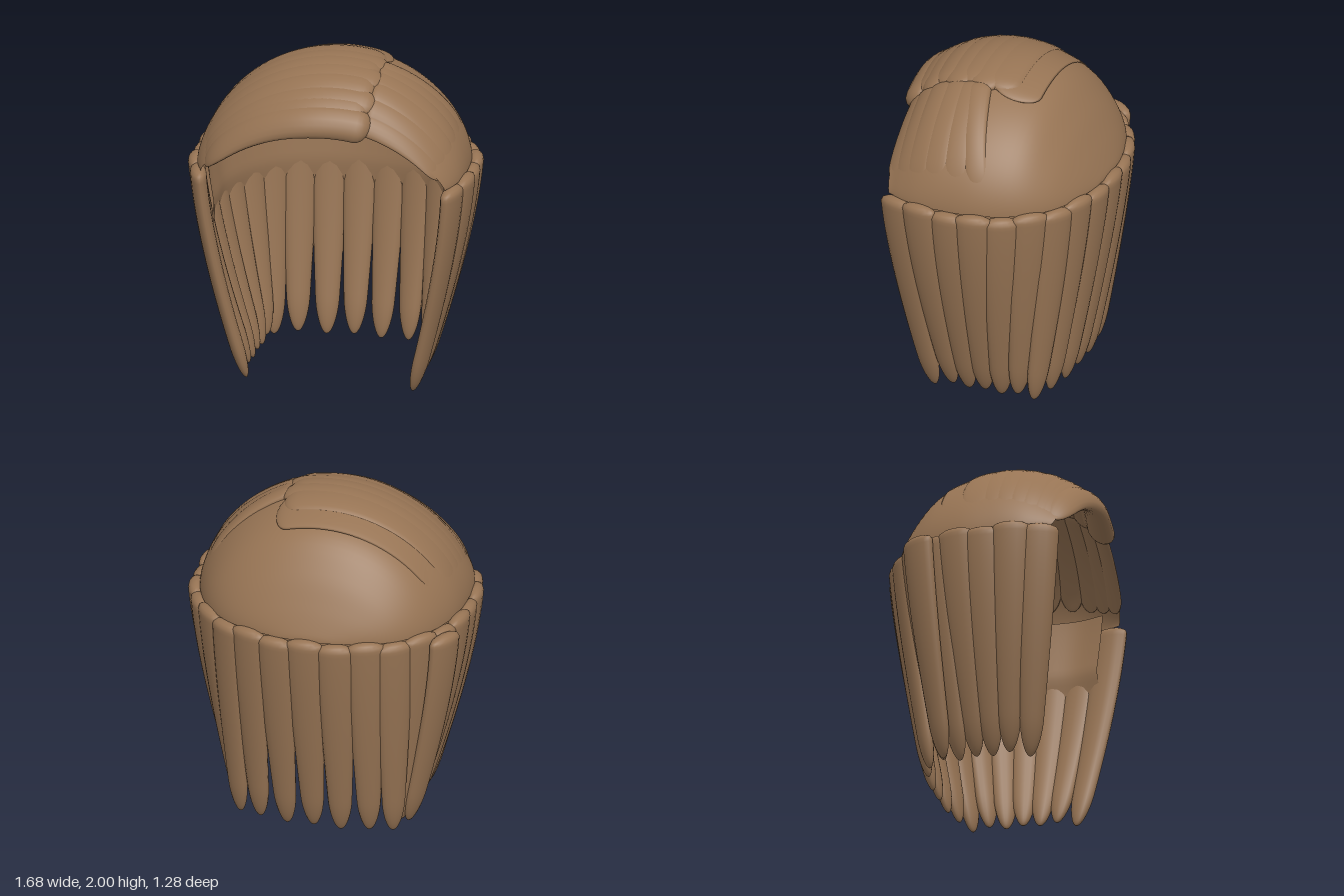
import * as THREE from 'three';

const V = (x, y, z) => new THREE.Vector3(x, y, z);
const { lerp, smoothstep } = THREE.MathUtils;
const RIM = 1.35; // height where the cap meets the hanging locks

const hair = new THREE.MeshStandardMaterial({ color: 0x977454, side: THREE.DoubleSide });
hair.name = 'brown hair';

// Surface from rows of points; wrap closes each row into a ring
function grid(rows, cols, point, wrap) {
  const pos = [], idx = [], n = wrap ? cols : cols + 1;
  for (let i = 0; i <= rows; i++)
    for (let j = 0; j < n; j++) pos.push(...point(i / rows, j / cols).toArray());
  for (let i = 0; i < rows; i++)
    for (let j = 0; j < cols; j++) {
      const k = (j + 1) % n, a = i * n + j, b = i * n + k, c = a + n, d = b + n;
      idx.push(a, b, d, a, d, c);
    }
  const g = new THREE.BufferGeometry();
  g.setAttribute('position', new THREE.Float32BufferAttribute(pos, 3));
  g.setIndex(idx);
  g.computeVertexNormals();
  return g;
}

// Flattened lock swept along a path, rounded off over the lengths d0 and d1 at its ends
function lockGeometry(path, normal, width, thick, d0, d1) {
  const round = (q) => Math.sqrt(Math.max(0, 1 - (1 - Math.min(1, q)) ** 2));
  return grid(36, 16, (v, a) => {
    const t = (1 - Math.cos(Math.PI * v)) / 2;
    const dir = path(Math.min(1, t + 0.01)).sub(path(Math.max(0, t - 0.01))).normalize();
    const n = normal(t);
    n.addScaledVector(dir, -n.dot(dir)).normalize();
    const b = n.clone().cross(dir);
    const e = Math.max(0.001, round(t / d0) * round((1 - t) / d1)), ang = a * Math.PI * 2;
    return path(t).addScaledVector(b, width(t) * e * Math.cos(ang))
      .addScaledVector(n, thick(t) * e * Math.sin(ang));
  }, true);
}

// Cap arches from back to front: z, half width, height above the rim
const arches = new THREE.CatmullRomCurve3([
  V(-0.58, 0, 0), V(-0.565, 0.18, 0.05), V(-0.5, 0.41, 0.19), V(-0.4, 0.57, 0.36),
  V(-0.25, 0.69, 0.525), V(-0.05, 0.765, 0.6), V(0.15, 0.785, 0.615),
  V(0.32, 0.78, 0.575), V(0.45, 0.755, 0.49), V(0.55, 0.72, 0.37),
]);
function capPoint(s, u) {
  const a = arches.getPoint(Math.min(1, s / 9));
  const front = smoothstep(s, 6, 9), sin = Math.max(0, Math.sin(u));
  const bow = sin * (0.055 + 0.05 * smoothstep(u, 1.1, 1.8)) - 0.05;
  return V(a.y * Math.cos(u), RIM + a.z * sin ** lerp(1.2, 1.45, front), a.x + front * bow);
}
function capNormal(s, u) {
  const du = capPoint(s, u + 0.02).sub(capPoint(s, u - 0.02));
  const ds = capPoint(Math.min(9, s + 0.1), u).sub(capPoint(s - 0.1, u));
  return du.cross(ds).normalize();
}

// Lock lying on the cap, from (s0, u0) to (s1, u1), sinking into it at the end
function capLock(s0, u0, s1, u1, w, th) {
  const at = (t) => [lerp(s0, s1, t), lerp(u0, u1, t)];
  return lockGeometry(
    (t) => capPoint(...at(t)).addScaledVector(capNormal(...at(t)), -0.012 * t),
    (t) => capNormal(...at(t)),
    (t) => w * (1 - 0.2 * t),
    (t) => th * (1 - 0.7 * t),
    0.07, 0.25);
}

// Hanging locks from the middle of the back round to the front: [x, z] at rim and tip
const tops = [[0, -0.59], [0.18, -0.575], [0.35, -0.53], [0.5, -0.46], [0.63, -0.35],
  [0.725, -0.21], [0.785, -0.06], [0.795, 0.1], [0.795, 0.28], [0.75, 0.44]];
const tips = [[0, -0.37], [0.16, -0.365], [0.325, -0.345], [0.455, -0.3], [0.48, -0.21],
  [0.485, -0.11], [0.49, -0.01], [0.495, 0.09], [0.5, 0.19], [0.49, 0.31]];
const tipHeights = [0.03, 0.02, 0.03, 0.02, 0.05, 0.03, 0.04, 0.03, 0.04, 0];

// Plan position between rim and tip, bulging a little at the sides
const hang = (top, tip, y, t) =>
  V(lerp(top[0], tip[0], t ** 1.45), y, lerp(top[1], tip[1], t ** 1.25));

function hangingLock(top, tip, normal, tipY, rimY) {
  return lockGeometry(
    (t) => hang(top, tip, lerp(rimY, tipY, t), t),
    () => normal.clone(),
    (t) => 0.112 - 0.053 * t ** 1.4,
    (t) => 0.048 - 0.008 * t,
    0.03, 0.16);
}

// Smooth lining inside the locks, sinking into them where they part
function liningGeometry() {
  const ring = (list) => new THREE.CatmullRomCurve3([
    ...list.slice(1).reverse().map(([x, z]) => V(-x, 0, z)), ...list.map(([x, z]) => V(x, 0, z)),
  ]);
  const upper = ring(tops), lower = ring(tips);
  return grid(16, 72, (v, w) => {
    const t = 0.4 * v, a = upper.getPoint(w), b = lower.getPoint(w);
    const p = hang([a.x, a.z], [b.x, b.z], lerp(1.42, 0.03, t), t);
    const k = 0.93 - 0.01 * v + 0.07 * smoothstep(v, 0.6, 1);
    return V(p.x * k, p.y, p.z * k);
  }, false);
}

export function createModel() {
  const model = new THREE.Group();
  model.name = 'hair';
  const group = (name) => {
    const g = new THREE.Group();
    g.name = name;
    model.add(g);
    return g;
  };
  const add = (parent, name, geometry) => {
    const m = new THREE.Mesh(geometry, hair);
    m.name = name;
    parent.add(m);
  };

  // Smooth cap over the crown, open at the front and below
  add(model, 'cap', grid(48, 64, (v, w) => capPoint(9 * v, Math.PI * w), false));
  add(model, 'lining', liningGeometry());

  // Fringe combed from the parting towards the right
  const fringe = group('sweptFringe');
  [
    [4.8, 4.9, 0.15, 0.02], [5.3, 5.5, 0.12, 0.036], [5.75, 6, 0.1, 0.038],
    [6.2, 6.5, 0.1, 0.038], [6.65, 7, 0.095, 0.04], [7.2, 7.5, 0.095, 0.042],
    [7.8, 8, 0.09, 0.045], [8.3, 8.4, 0.1, 0.048], [8.75, 8.8, 0.105, 0.07],
  ].forEach(([s0, s1, w, th], i) =>
    add(fringe, 'fringeLock', capLock(s0, 1.17 + 0.04 * (i % 2), s1, 2.9, w, th)));

  // Shorter locks falling to the left of the parting
  const side = group('partingLocks');
  [
    [5.9, 4.9, 0.075, 0.036], [6.1, 5.6, 0.09, 0.032], [6.6, 6.4, 0.09, 0.032],
    [7.2, 7.2, 0.09, 0.032], [7.9, 7.9, 0.085, 0.03], [8.6, 8.7, 0.075, 0.028],
  ].forEach(([s0, s1, w, th]) => add(side, 'partingLock', capLock(s0, 1.24, s1, 0.3, w, th)));

  // Hanging locks, mirrored
  const locks = group('hangingLocks');
  for (const m of [1, -1])
    tops.forEach((p, i) => {
      if (i === 0 && m < 0) return;
      const a = i ? tops[i - 1] : [-0.18, -0.575], b = tops[Math.min(9, i + 1)];
      const normal = V(m * (b[1] - a[1]), 0, a[0] - b[0]).normalize();
      add(locks, 'hangingLock', hangingLock([m * p[0], p[1]], [m * tips[i][0], tips[i][1]],
        normal, tipHeights[i], 1.365 - 0.015 * (i % 2)));
    });

  // Loose lock standing out at the right rear
  add(locks, 'looseLock', hangingLock([-0.76, -0.29], [-0.52, -0.2],
    V(-0.85, 0, -0.5).normalize(), 0.04, 1.35));
  return model;
}
